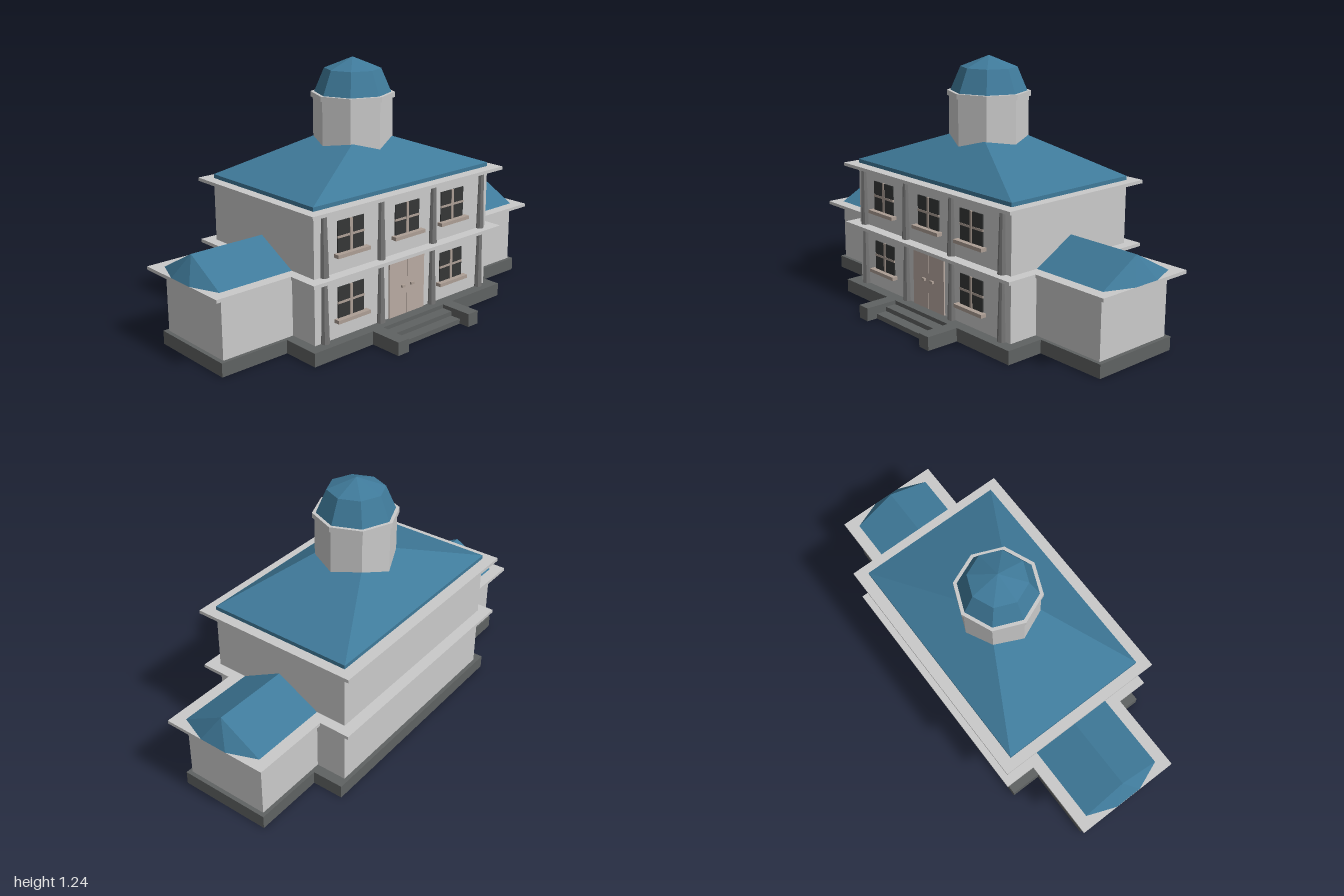
import * as THREE from 'three';

const mat = (name, color) => {
  const m = new THREE.MeshStandardMaterial({ color });
  m.name = name;
  return m;
};

export function createModel() {
  const stone = mat('wall stone', 0xcacaca);
  const roofBlue = mat('roof blue', 0x3f7a9a);
  const plinth = mat('plinth grey', 0x5f6262);
  const columnGrey = mat('column grey', 0x777777);
  const wood = mat('door tan', 0xb9aaa2);
  const trim = mat('window trim', 0xad9f95);
  const glass = mat('dark glass', 0x353737);

  const root = new THREE.Group();
  root.name = 'building';

  const add = (parent, name, geometry, material, x = 0, y = 0, z = 0) => {
    const mesh = new THREE.Mesh(geometry, material);
    mesh.name = name;
    mesh.position.set(x, y, z);
    parent.add(mesh);
    return mesh;
  };
  // Box given by its extents
  const box = (parent, name, material, x0, x1, y0, y1, z0, z1) =>
    add(parent, name, new THREE.BoxGeometry(x1 - x0, y1 - y0, z1 - z0), material,
      (x0 + x1) / 2, (y0 + y1) / 2, (z0 + z1) / 2);
  // Faceted round part
  const prism = (parent, name, material, rTop, rBottom, y0, y1, x, z) => {
    const g = new THREE.CylinderGeometry(rTop, rBottom, y1 - y0, 8).toNonIndexed();
    g.computeVertexNormals();
    return add(parent, name, g, material, x, (y0 + y1) / 2, z);
  };

  const zc = -0.083; // depth of the building's centre line

  // Main block
  box(root, 'mainBase', plinth, -0.61, 0.61, 0, 0.065, -0.468, 0.34);
  box(root, 'lowerWalls', stone, -0.56, 0.56, 0.065, 0.36, -0.448, 0.283);
  box(root, 'middleCornice', stone, -0.61, 0.61, 0.36, 0.376, -0.505, 0.34);
  box(root, 'upperWalls', stone, -0.56, 0.56, 0.376, 0.667, -0.448, 0.283);
  box(root, 'upperCornice', stone, -0.61, 0.61, 0.667, 0.683, -0.505, 0.34);

  // Hipped main roof: a box whose top is drawn in towards the drum
  box(root, 'roofEdge', roofBlue, -0.56, 0.56, 0.683, 0.702, -0.448, 0.283);
  const hip = new THREE.BoxGeometry(1.12, 0.162, 0.731).toNonIndexed();
  const p = hip.attributes.position;
  for (let i = 0; i < p.count; i++) {
    if (p.getY(i) > 0) p.setXYZ(i, Math.sign(p.getX(i)) * 0.13, p.getY(i), Math.sign(p.getZ(i)) * 0.134);
  }
  hip.computeVertexNormals();
  add(root, 'mainRoof', hip, roofBlue, 0, 0.783, zc);

  // Cupola
  const zd = -0.087;
  prism(root, 'drum', stone, 0.19, 0.19, 0.75, 1.052, 0, zd);
  prism(root, 'drumCornice', stone, 0.2, 0.2, 1.052, 1.077, 0, zd);
  prism(root, 'domeSide', roofBlue, 0.135, 0.183, 1.077, 1.19, 0, zd);
  prism(root, 'domeCap', roofBlue, 0, 0.135, 1.19, 1.243, 0, zd);

  // Wings: symmetrical front to back, so the second is a half turn of the first
  const wingRoofGeometry = () => {
    const x0 = 0.56, x1 = 0.945, w = 0.212, e = 0.07, h = 0.115;
    const a = [x0, h, 0], b = [0.94, h, 0];
    const f0 = [x0, 0, w], f1 = [x1, 0, w], e1 = [1, 0, e];
    const e2 = [1, 0, -e], r1 = [x1, 0, -w], r0 = [x0, 0, -w];
    const triangles = [f0, f1, b, f0, b, a, b, f1, e1, b, e1, e2, b, e2, r1, r1, r0, a, r1, a, b];
    const g = new THREE.BufferGeometry();
    g.setAttribute('position', new THREE.Float32BufferAttribute(triangles.flat(), 3));
    g.computeVertexNormals();
    return g;
  };
  for (const side of ['left', 'right']) {
    const wing = new THREE.Group();
    wing.name = side + 'Wing';
    wing.position.z = zc;
    if (side === 'right') wing.rotation.y = Math.PI;
    box(wing, 'wingBase', plinth, 0.61, 0.96, 0, 0.065, -0.23, 0.23);
    box(wing, 'wingWalls', stone, 0.56, 0.94, 0.065, 0.36, -0.212, 0.212);
    box(wing, 'wingCornice', stone, 0.61, 1, 0.36, 0.376, -0.269, 0.269);
    add(wing, 'wingRoof', wingRoofGeometry(), roofBlue, 0, 0.376, 0);
    root.add(wing);
  }

  // Two tiers of tapered columns
  for (const [y0, y1] of [[0.065, 0.36], [0.376, 0.667]]) {
    for (const x of [-0.507, -0.168, 0.17, 0.51]) {
      const column = new THREE.Group();
      column.name = 'column';
      prism(column, 'columnShaft', columnGrey, 0.013, 0.021, y0, y1 - 0.012, x, 0.289);
      prism(column, 'columnCapital', columnGrey, 0.02, 0.016, y1 - 0.014, y1, x, 0.289);
      root.add(column);
    }
  }

  // Windows: four panes, a cross of bars and a sill
  const addWindow = (x, y) => {
    const win = new THREE.Group();
    win.name = 'window';
    win.position.set(x, y, 0.283);
    for (const sx of [-1, 1]) {
      for (const sy of [-1, 1]) {
        add(win, 'pane', new THREE.BoxGeometry(0.07, 0.068, 0.006), glass, sx * 0.0425, sy * 0.0395, 0.002);
      }
    }
    box(win, 'uprightBar', trim, -0.0075, 0.0075, -0.074, 0.074, 0, 0.008);
    box(win, 'crossBar', trim, -0.078, 0.078, -0.0055, 0.0055, 0, 0.007);
    box(win, 'sill', trim, -0.096, 0.096, -0.09, -0.073, 0, 0.03);
    root.add(win);
  };
  for (const x of [-0.35, 0, 0.305]) addWindow(x, 0.54);
  for (const x of [-0.35, 0.305]) addWindow(x, 0.233);

  // Double door
  for (const s of [-1, 1]) {
    add(root, 'doorLeaf', new THREE.BoxGeometry(0.113, 0.278, 0.009), wood, s * 0.0575, 0.205, 0.286);
    add(root, 'doorHandle', new THREE.BoxGeometry(0.022, 0.012, 0.012), trim, s * 0.03, 0.21, 0.295);
  }

  // Entrance steps between low side walls
  for (const s of [-1, 1]) {
    add(root, 'stepWall', new THREE.BoxGeometry(0.065, 0.065, 0.165), plinth, s * 0.2325, 0.0325, 0.4225);
  }
  box(root, 'upperStep', plinth, -0.2, 0.2, 0, 0.046, 0.34, 0.395);
  box(root, 'lowerStep', plinth, -0.2, 0.2, 0, 0.024, 0.395, 0.45);

  return root;
}
